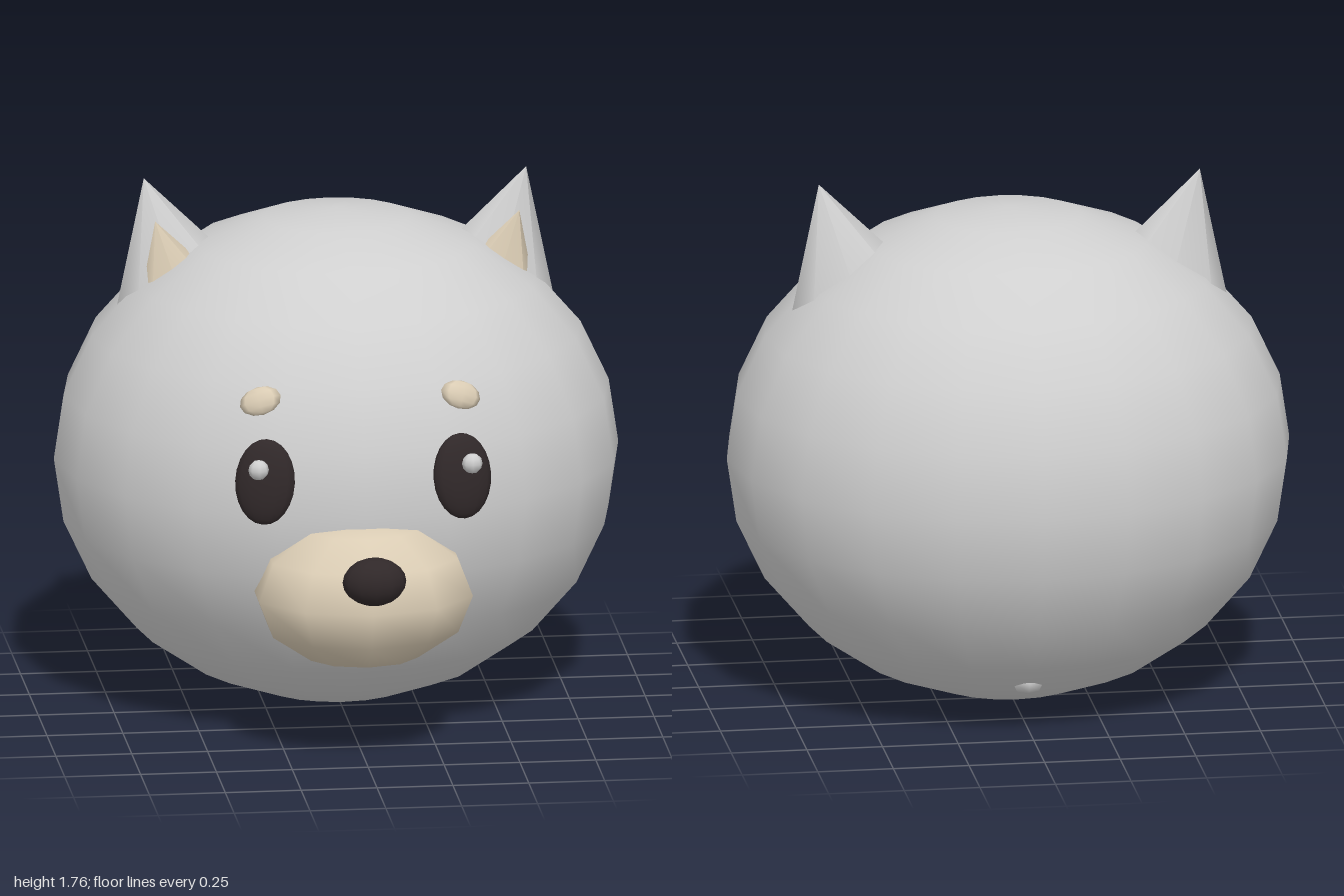
import * as THREE from 'three';

const material = (name, color) => {
  const m = new THREE.MeshStandardMaterial({ color });
  m.name = name;
  return m;
};

export function createModel() {
  const group = new THREE.Group();
  const fur = material('greyFur', 0xcfcfcf);
  const cream = material('cream', 0xdaccb4);
  const dark = material('darkBrown', 0x302829);

  const add = (name, geometry, mat, position, rotation = [0, 0, 0]) => {
    const mesh = new THREE.Mesh(geometry, mat);
    mesh.name = name;
    mesh.position.set(...position);
    mesh.rotation.set(...rotation);
    group.add(mesh);
  };

  // Low-sided smooth ellipsoid with a vertex column facing front
  const ellipsoid = (rx, ry, rz, columns, rows) =>
    new THREE.SphereGeometry(1, columns, rows).rotateY(Math.PI / 2).scale(rx, ry, rz);

  // Flattened cone whose tip sits at the origin
  const earCone = (radius, height, depth) =>
    new THREE.ConeGeometry(1, height, 8).translate(0, -height / 2, 0).scale(radius, 1, depth);

  // Head, muzzle and nose
  add('head', ellipsoid(0.93, 0.825, 0.84, 20, 12), fur, [0, 0.825, -0.16]);
  add('muzzle', ellipsoid(0.37, 0.25, 0.3, 10, 6), cream, [0, 0.555, 0.6]);
  add('nose', ellipsoid(0.105, 0.08, 0.073, 12, 10), dark, [0, 0.68, 0.927]);

  // Barely protruding tail nub
  add('tailNub', ellipsoid(0.06, 0.05, 0.06, 6, 4), fur, [0, 0.165, -0.6]);

  // Mirrored features
  for (const [side, s] of [['left', 1], ['right', -1]]) {
    add(`${side}Ear`, earCone(0.22, 0.4, 0.125), fur, [s * 0.63, 1.76, -0.19], [0, 0, -s * 0.3]);
    add(`${side}InnerEar`, earCone(0.165, 0.3, 0.06), cream, [s * 0.6, 1.63, -0.125], [0, 0, -s * 0.32]);
    add(`${side}Eye`, ellipsoid(0.1, 0.142, 0.04, 14, 12), dark, [s * 0.325, 0.945, 0.622], [-0.13, s * 0.25, s * 0.06]);
    add(`${side}EyeHighlight`, ellipsoid(0.034, 0.034, 0.03, 8, 6), fur, [s * 0.352, 1.0, 0.672]);
    add(`${side}Brow`, ellipsoid(0.07, 0.047, 0.024, 8, 6), cream, [s * 0.33, 1.195, 0.532], [-0.4, s * 0.28, -s * 0.22]);
  }

  return group;
}
